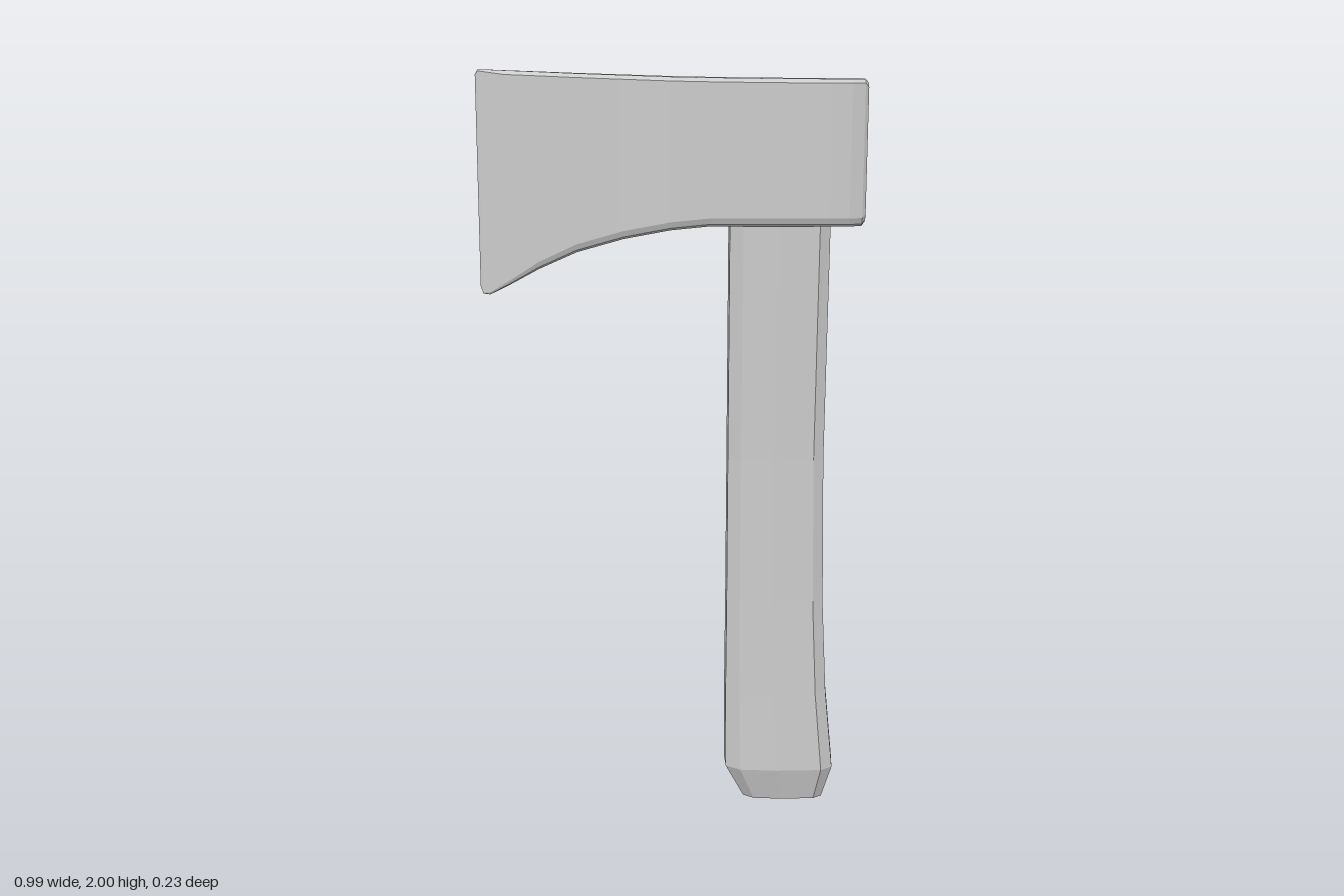
import * as THREE from 'three';

const material = () => new THREE.MeshStandardMaterial({ color: 0xcccccc, flatShading: true });

// Skin a list of equal-length rings and close both ends with a fan.
function loft(rings) {
  const n = rings[0].length, pos = rings.flat(2), index = [];
  for (let r = 0; r < rings.length - 1; r++) {
    for (let i = 0; i < n; i++) {
      const a = r * n + i, b = r * n + (i + 1) % n;
      index.push(a, b, b + n, a, b + n, a + n);
    }
  }
  const last = (rings.length - 1) * n;
  for (let i = 1; i < n - 1; i++) {
    index.push(0, i + 1, i);
    index.push(last, last + i, last + i + 1);
  }
  const geometry = new THREE.BufferGeometry();
  geometry.setAttribute('position', new THREE.Float32BufferAttribute(pos, 3));
  geometry.setIndex(index);
  const flat = geometry.toNonIndexed();
  flat.computeVertexNormals();
  return flat;
}

// Handle: faceted grip section swept upward; flares and tapers to a point at the butt
function createHandle() {
  const half = [[0.97, 0.7], [0.76, 0.94], [-0.05, 1], [-0.72, 0.94], [-0.98, 0.66]];
  const section = [
    [1, 0], ...half.map(([x, z]) => [x, -z]),
    [-1, 0], ...half.slice().reverse(),
  ];
  // y, left x, right x, half depth
  const levels = [
    [0.003, 0.309, 0.311, 0.001],
    [0.035, 0.2, 0.422, 0.07],
    [0.13, 0.15, 0.449, 0.095],
    [0.35, 0.148, 0.427, 0.09],
    [0.6, 0.149, 0.414, 0.085],
    [1.0, 0.149, 0.407, 0.08],
    [1.3, 0.149, 0.409, 0.081],
    [1.7, 0.149, 0.412, 0.084],
  ];
  const rings = levels.map(([y, x0, x1, d]) =>
    section.map(([u, w]) => [(x0 + x1) / 2 + u * (x1 - x0) / 2, y, w * d]));
  const mesh = new THREE.Mesh(loft(rings), material());
  mesh.name = 'handle';
  return mesh;
}

// Axe head: bevelled sections from the cutting edge to the blunt poll
function createHead() {
  // x, half thickness, bottom y, top y
  const stations = [
    [-0.495, 0.004, 1.45, 1.988],
    [-0.488, 0.008, 1.432, 2.0],
    [-0.47, 0.014, 1.43, 2.0],
    [-0.42, 0.028, 1.455, 1.998],
    [-0.34, 0.049, 1.499, 1.995],
    [-0.24, 0.071, 1.545, 1.991],
    [-0.12, 0.095, 1.581, 1.987],
    [0, 0.112, 1.605, 1.983],
    [0.1, 0.112, 1.615, 1.981],
    [0.25, 0.112, 1.615, 1.979],
    [0.4, 0.113, 1.615, 1.978],
    [0.45, 0.109, 1.615, 1.978],
    [0.483, 0.097, 1.615, 1.978],
    [0.492, 0.088, 1.625, 1.968],
  ];
  const rings = stations.map(([x, w, y0, y1]) => {
    const t = Math.min(0.01, w * 0.4), b = Math.min(0.022, w * 0.4);
    const side = [[y1, w - t], [y1 - t, w], [y0 + b, w], [y0 + b * 0.3, w - b * 0.3], [y0, w - b]];
    return [
      ...side.map(([y, z]) => [x, y, z]),
      ...side.slice().reverse().map(([y, z]) => [x, y, -z]),
    ];
  });
  const mesh = new THREE.Mesh(loft(rings), material());
  mesh.name = 'axeHead';
  return mesh;
}

export function createModel() {
  const model = new THREE.Group();
  model.name = 'axe';
  model.add(createHandle(), createHead());
  return model;
}
